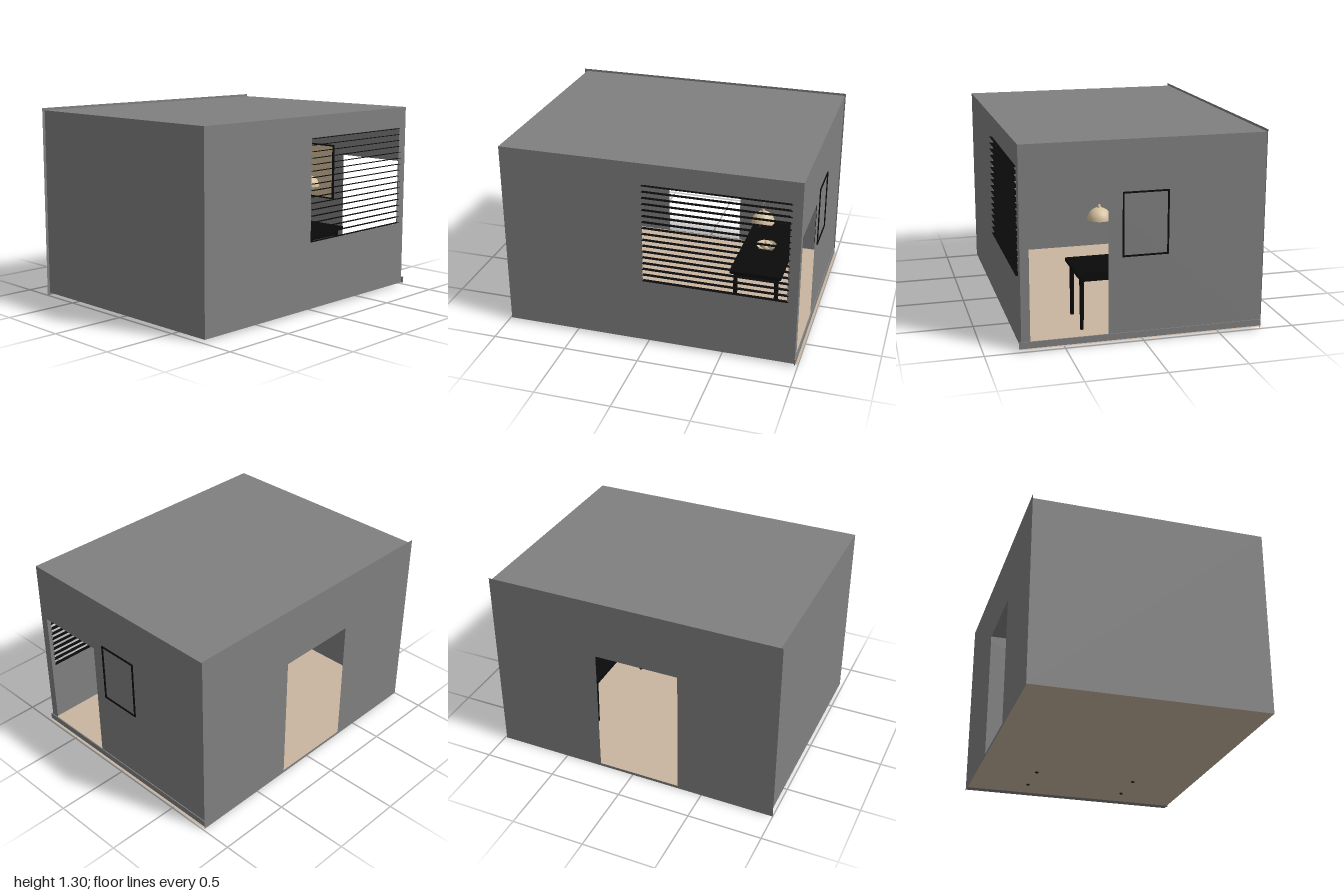
import * as THREE from 'three';

export function createModel() {
  const room = new THREE.Group();
  room.name = 'room';
  const mat = (name, color, side = THREE.FrontSide) =>
    Object.assign(new THREE.MeshStandardMaterial({ color, side }), { name });
  const grey = mat('wallGrey', 0x808080, THREE.DoubleSide);
  const tan = mat('floorTan', 0xc9b6a1, THREE.DoubleSide);
  const black = mat('black', 0x0a0a0a, THREE.DoubleSide);
  const cream = mat('lampCream', 0xd6c2a0, THREE.DoubleSide);

  const add = (name, geometry, material, x = 0, y = 0, z = 0, parent = room) => {
    const mesh = new THREE.Mesh(geometry, material);
    mesh.name = name;
    mesh.position.set(x, y, z);
    parent.add(mesh);
    return mesh;
  };
  const box = (name, material, x0, x1, y0, y1, z0, z1, parent = room) =>
    add(name, new THREE.BoxGeometry(x1 - x0, y1 - y0, z1 - z0), material,
      (x0 + x1) / 2, (y0 + y1) / 2, (z0 + z1) / 2, parent);
  // Flat sheet from corner to corner, with an optional rectangular opening
  const sheet = (u0, u1, v0, v1, hole) => {
    const rect = (Type, a, b, c, d) => new Type([[a, c], [b, c], [b, d], [a, d]].map(p => new THREE.Vector2(...p)));
    const shape = rect(THREE.Shape, u0, u1, v0, v1);
    if (hole) shape.holes.push(rect(THREE.Path, ...hole));
    return new THREE.ShapeGeometry(shape);
  };

  // Shell of the room
  const left = -0.785, right = 0.77, bottom = 0.016, top = 1.282;
  add('frontWall', sheet(left, right, bottom, top), grey, 0, 0, 0.98);
  add('backWall', sheet(left, right, bottom, top, [0.223, 0.714, 0.018, 0.895]), grey, 0, 0, -0.98);
  add('windowWall', sheet(-0.98, 0.98, bottom, top, [-0.91, 0.03, 0.46, 1.14]).rotateY(-Math.PI / 2), grey, right);
  add('doorWall', sheet(-0.988, 1, 0, 1.298, [-0.24, 0.33, 0.02, 0.9]).rotateY(-Math.PI / 2), grey, left);
  add('ceiling', sheet(left, right, -0.98, 0.98).rotateX(Math.PI / 2), grey, 0, top);
  add('floor', sheet(left, right, -1, 0.98).rotateX(Math.PI / 2), tan, 0, bottom);

  // Skirting under the back wall
  box('skirting', grey, -0.785, 0.785, bottom, 0.058, -0.986, -0.978);
  const under = mat('undersideGrey', 0x808080);
  add('skirtingUnderside', sheet(left, right, -1, -0.94).rotateX(Math.PI / 2), under, 0, 0.012);

  // Window blind
  const blind = new THREE.Group();
  blind.name = 'windowBlind';
  room.add(blind);
  const slats = 17;
  for (let i = 0; i < slats; i++) {
    add('slat', new THREE.PlaneGeometry(0.03, 0.95).rotateX(-Math.PI / 2), black,
      0.77, 0.465 + i * 0.67 / (slats - 1), -0.445, blind);
  }

  // Picture frame
  const frame = new THREE.Group();
  frame.name = 'pictureFrame';
  room.add(frame);
  for (const y of [0.55, 0.95]) box('frameRail', black, -0.16, 0.135, y, y + 0.01, -0.987, -0.965, frame);
  for (const x of [-0.16, 0.125]) box('frameStile', black, x, x + 0.01, 0.55, 0.96, -0.987, -0.965, frame);
  box('picture', cream, -0.15, 0.125, 0.56, 0.95, -0.976, -0.97, frame);

  // Table with legs through the floor
  const table = new THREE.Group();
  table.name = 'table';
  table.position.set(-0.015, 0, -0.62);
  room.add(table);
  box('tableTop', black, -0.39, 0.39, 0.375, 0.4, -0.175, 0.175, table);
  for (const s of [-1, 1]) {
    box('longApron', black, -0.355, 0.355, 0.335, 0.375, s * 0.14 - 0.006, s * 0.14 + 0.006, table);
    box('shortApron', black, s * 0.355 - 0.006, s * 0.355 + 0.006, 0.335, 0.375, -0.14, 0.14, table);
    for (const t of [-1, 1])
      add('tableLeg', new THREE.CylinderGeometry(0.016, 0.012, 0.37, 12), black, s * 0.355, 0.195, t * 0.14, table);
  }

  // Bowl with fruit
  const bowl = [[0, 0], [0.03, 0], [0.055, 0.02], [0.07, 0.045]].map(p => new THREE.Vector2(...p));
  add('bowl', new THREE.LatheGeometry(bowl, 24), cream, 0.045, 0.401, 0, table);
  for (let i = 0; i < 4; i++) {
    const a = i * Math.PI / 2;
    add('fruit', new THREE.SphereGeometry(0.021, 12, 8), cream,
      0.045 + Math.cos(a) * 0.028, 0.44, Math.sin(a) * 0.028, table);
  }

  // Pendant lamps on slightly wavy cords
  const dome = [];
  for (let i = 0; i <= 8; i++) {
    const a = i / 8 * Math.PI / 2;
    dome.push(new THREE.Vector2(0.077 * Math.cos(a), 0.077 * Math.sin(a)));
  }
  for (const x of [0.19, -0.22]) {
    const lamp = new THREE.Group();
    lamp.name = 'pendantLamp';
    lamp.position.set(x, 0.697, -0.622);
    room.add(lamp);
    add('shade', new THREE.LatheGeometry(dome, 28), cream, 0, 0, 0, lamp);
    add('shadeCap', new THREE.CylinderGeometry(0.006, 0.014, 0.026, 12), cream, 0, 0.085, 0, lamp);
    const cord = new THREE.CatmullRomCurve3([[0, 0.09, 0], [0.002, 0.2, -0.003], [-0.002, 0.32, 0.003], [0, 0.44, 0.002], [0, 0.583, 0]]
      .map(p => new THREE.Vector3(...p)));
    add('cord', new THREE.TubeGeometry(cord, 24, 0.0025, 6), tan, 0, 0, 0, lamp);
  }
  return room;
}
